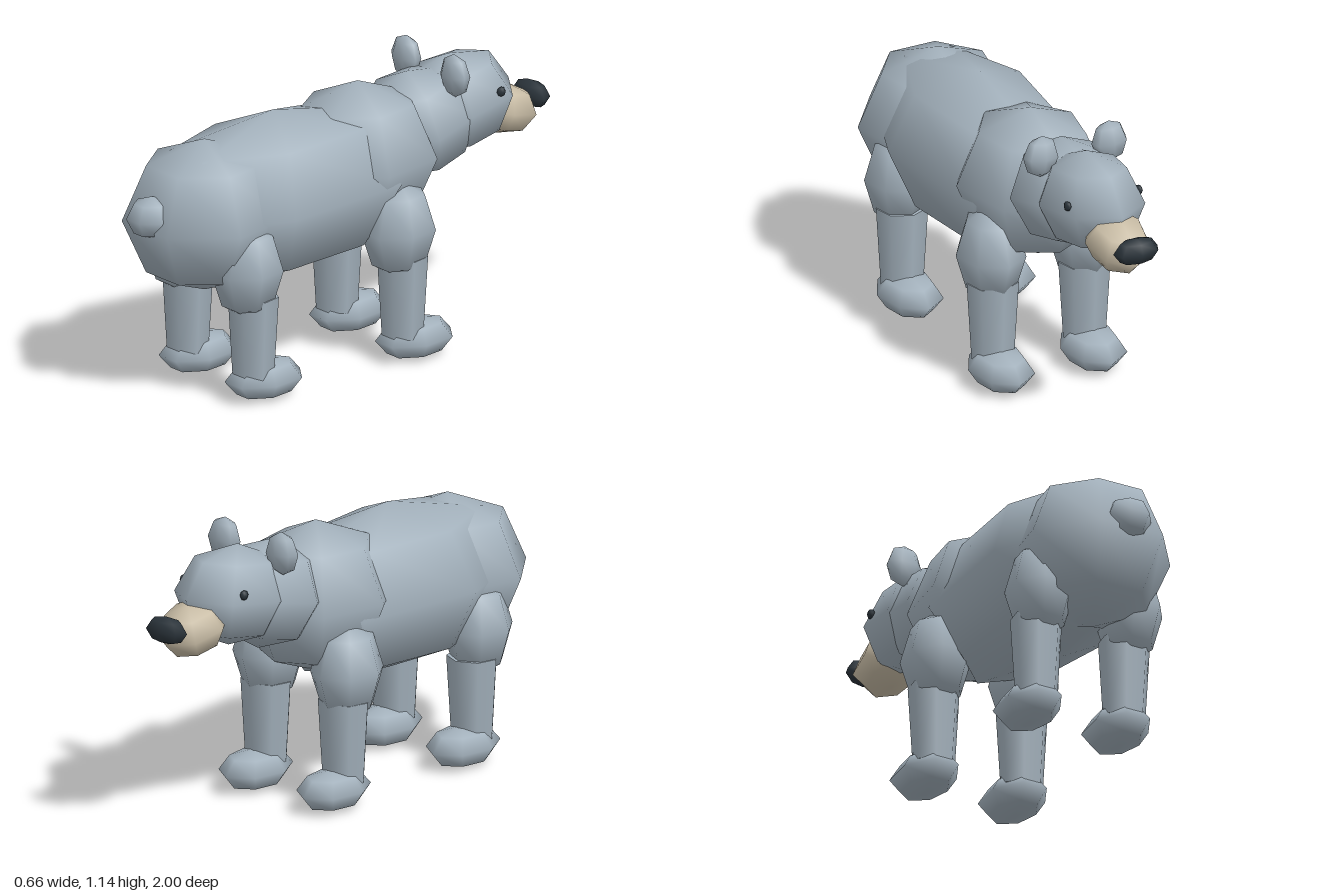
import * as THREE from 'three';

export function createModel() {
  const bear = new THREE.Group();
  bear.name = 'bear';

  const mat = (name, color) => {
    const m = new THREE.MeshStandardMaterial({ color });
    m.name = name;
    return m;
  };
  const fur = mat('greyFur', 0xa3b1bc);
  const tan = mat('tanMuzzle', 0xc9bda6);
  const dark = mat('darkNose', 0x2b343b);

  // Coarse seven-sided ball with one corner pointing forwards (-z)
  const ball = new THREE.SphereGeometry(1, 7, 4).rotateY(-Math.PI / 2);

  function blob(name, material, centre, radii, pitch = 0, roll = 0) {
    const mesh = new THREE.Mesh(ball, material);
    mesh.name = name;
    mesh.position.set(...centre);
    mesh.scale.set(...radii);
    mesh.rotation.set(pitch, 0, roll);
    bear.add(mesh);
    return mesh;
  }

  // Torso, from the rear to the front
  blob('tail', fur, [0, 0.755, 0.907], [0.094, 0.083, 0.103]);
  blob('rump', fur, [0, 0.71, 0.65], [0.315, 0.303, 0.325]);
  blob('body', fur, [0, 0.725, 0.31], [0.325, 0.33, 0.67]);
  blob('shoulders', fur, [0, 0.78, -0.1], [0.29, 0.3, 0.33]);
  blob('neck', fur, [0, 0.855, -0.385], [0.22, 0.213, 0.26], 0.2);

  // Head
  blob('head', fur, [0, 0.895, -0.57], [0.192, 0.197, 0.27], 0.13);
  blob('muzzle', tan, [0, 0.815, -0.8], [0.128, 0.1, 0.155], -0.25);
  blob('nose', dark, [0, 0.84, -0.948], [0.097, 0.054, 0.052]);

  // Lower leg: tapered seven-sided post, corner forwards
  const post = new THREE.CylinderGeometry(0.103, 0.084, 0.32, 7).rotateY(Math.PI);

  for (const [side, s] of [['left', 1], ['right', -1]]) {
    blob(side + 'Ear', fur, [s * 0.147, 1.06, -0.455], [0.075, 0.085, 0.046], 0, s * 0.06);
    blob(side + 'Eye', dark, [s * 0.153, 0.947, -0.678], [0.014, 0.02, 0.02]);

    // Legs: upper leg, lower leg and paw
    const legs = [
      ['Front', -0.14, 0.155, -0.158, -0.22],
      ['Hind', 0.6, 0.147, 0.572, 0.516],
    ];
    for (const [end, upperZ, upperR, lowerZ, pawZ] of legs) {
      blob(side + end + 'UpperLeg', fur, [s * 0.198, 0.53, upperZ], [0.133, 0.195, upperR]);
      const lower = new THREE.Mesh(post, fur);
      lower.name = side + end + 'LowerLeg';
      lower.position.set(s * 0.197, 0.26, lowerZ);
      lower.scale.z = 0.94;
      bear.add(lower);
      blob(side + end + 'Paw', fur, [s * 0.198, 0.078, pawZ], [0.12, 0.078, 0.171]);
    }
  }

  return bear;
}
